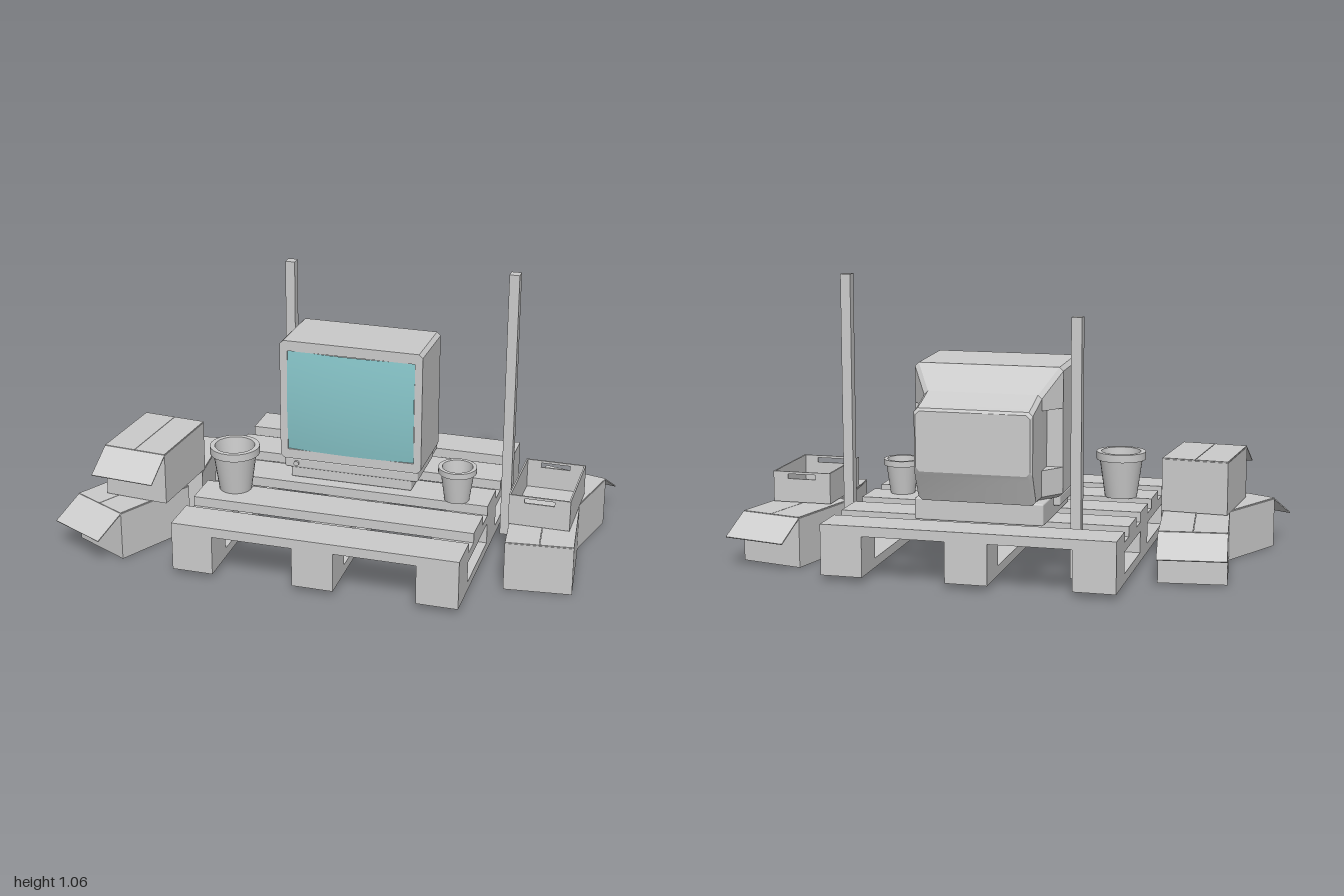
import * as THREE from 'three';
import { toCreasedNormals } from 'three/addons/utils/BufferGeometryUtils.js';
import { RoundedBoxGeometry } from 'three/addons/geometries/RoundedBoxGeometry.js';

const grey = new THREE.MeshStandardMaterial({ color: 0xcccccc });
const greyTwoSided = new THREE.MeshStandardMaterial({ color: 0xcccccc, side: THREE.DoubleSide });
const glass = new THREE.MeshStandardMaterial({ color: 0x88c6ca });

function add(parent, name, geometry, x = 0, y = 0, z = 0, material = grey) {
  const mesh = new THREE.Mesh(geometry, material);
  mesh.name = name;
  mesh.position.set(x, y, z);
  parent.add(mesh);
  return mesh;
}

// Box given by its minimum and maximum corners
function span(parent, name, x0, x1, y0, y1, z0, z1) {
  return add(parent, name, new THREE.BoxGeometry(x1 - x0, y1 - y0, z1 - z0),
    (x0 + x1) / 2, (y0 + y1) / 2, (z0 + z1) / 2);
}

function group(parent, name, x = 0, y = 0, z = 0, turn = 0) {
  const g = new THREE.Group();
  g.name = name;
  g.position.set(x, y, z);
  g.rotation.y = turn;
  parent.add(g);
  return g;
}

function rect(path, x0, x1, y0, y1) {
  return path.moveTo(x0, y0).lineTo(x1, y0).lineTo(x1, y1).lineTo(x0, y1).closePath();
}

// Rectangular plate with rectangular holes, extruded along z
function plate(outer, holes, depth) {
  const shape = rect(new THREE.Shape(), ...outer);
  for (const h of holes) shape.holes.push(rect(new THREE.Path(), ...h));
  return new THREE.ExtrudeGeometry(shape, { depth, bevelEnabled: false });
}

// Skin over matching rings of points, front ring first, capped at both ends
function loft(rings) {
  const n = rings[0].length, index = [];
  for (let i = 0; i < rings.length - 1; i++) {
    for (let j = 0; j < n; j++) {
      const a = i * n + j, b = i * n + (j + 1) % n;
      index.push(a, a + n, b, b, a + n, b + n);
    }
  }
  const last = (rings.length - 1) * n;
  for (let j = 1; j < n - 1; j++) {
    index.push(0, j, j + 1, last, last + j + 1, last + j);
  }
  const g = new THREE.BufferGeometry();
  g.setAttribute('position', new THREE.Float32BufferAttribute(rings.flat(2), 3));
  g.setIndex(index);
  return toCreasedNormals(g, 0.5);
}

function buildPallet(root) {
  const pallet = group(root, 'pallet');
  for (let i = 0; i < 5; i++) {
    const z = -0.575 + i * 0.231;
    span(pallet, 'palletSlat', -0.49, 0.585, 0.17, 0.207, z, z + 0.151);
  }
  // Runners with two fork openings each
  const holes = [[-0.355, -0.035, 0.055, 0.135], [0.115, 0.425, 0.055, 0.135]];
  for (const x of [-0.49, -0.031, 0.43]) {
    const runner = add(pallet, 'palletRunner', plate([-0.5, 0.575, 0.02, 0.17], holes, 0.155), x, 0, 0);
    runner.rotation.y = Math.PI / 2;
  }
}

function buildTelevision(root) {
  const tv = group(root, 'television', 0.042, 0, 0);
  // Half width, half width inside the side recess, bottom, top, depth
  const ring = (hx, hin, y0, y1, z, b = 0.014) => {
    const low = Math.max(0.395, y0 + b), high = Math.min(0.61, y1 - b);
    const half = [[hx - b, y0], [hx, y0 + b], [hx, low], [hin, low],
      [hin, high], [hx, high], [hx, y1 - b], [hx - b, y1]];
    const other = half.map(([x, y]) => [-x, y]).reverse();
    return [...half, ...other].map(([x, y]) => [x, y, z]);
  };
  add(tv, 'televisionHousing', loft([
    ring(0.276, 0.276, 0.287, 0.765, -0.018),
    ring(0.276, 0.276, 0.285, 0.757, -0.275),
    ring(0.276, 0.216, 0.285, 0.757, -0.275),
    ring(0.217, 0.217, 0.285, 0.667, -0.357),
    ring(0.216, 0.216, 0.285, 0.64, -0.44),
    ring(0.216, 0.216, 0.385, 0.627, -0.488),
    ring(0.208, 0.208, 0.4, 0.617, -0.497),
  ]));

  // Bezel with a rounded outline around the screen
  const b = 0.014, outline = new THREE.Shape();
  outline.moveTo(-0.276 + b, 0.287).lineTo(0.276 - b, 0.287).lineTo(0.276, 0.287 + b)
    .lineTo(0.276, 0.765 - b).lineTo(0.276 - b, 0.765).lineTo(-0.276 + b, 0.765)
    .lineTo(-0.276, 0.765 - b).lineTo(-0.276, 0.287 + b).closePath();
  outline.holes.push(rect(new THREE.Path(), -0.247, 0.247, 0.325, 0.725));
  add(tv, 'screenBezel', new THREE.ExtrudeGeometry(outline, { depth: 0.018, bevelEnabled: false }), 0, 0, -0.018);

  // Bulging picture tube
  const screen = new THREE.PlaneGeometry(0.494, 0.4, 16, 16);
  const p = screen.attributes.position;
  for (let i = 0; i < p.count; i++) {
    const u = p.getX(i) / 0.247, v = p.getY(i) / 0.2;
    p.setZ(i, -0.008 + 0.026 * (1 - (u * u + v * v) / 2));
  }
  screen.computeVertexNormals();
  add(tv, 'screen', screen, 0, 0.525, 0, glass);

  add(tv, 'controlPanel', new RoundedBoxGeometry(0.525, 0.042, 0.25, 2, 0.008), 0, 0.267, -0.132);
  add(tv, 'televisionBase', new RoundedBoxGeometry(0.476, 0.08, 0.41, 2, 0.006), 0, 0.247, -0.215);
  const button = add(tv, 'powerButton', new THREE.CylinderGeometry(0.01, 0.01, 0.012, 16), -0.215, 0.267, -0.004);
  button.rotation.x = Math.PI / 2;
}

// Open flower pot with a thick rim
function buildPot(root, x, z, r, h) {
  const profile = [[0, 0], [0.65, 0], [0.87, 0.83], [1, 0.83], [1, 1], [0.8, 1], [0.62, 0.1], [0, 0.1]]
    .map(([a, b]) => new THREE.Vector2(a * r, b * h));
  add(root, 'flowerPot', toCreasedNormals(new THREE.LatheGeometry(profile, 28), 0.6), x, 0.207, z);
}

// Cardboard box; flapEnd is +1 or -1 for a flap hanging open at that end, 0 for none
function buildCarton(root, name, x, y, z, turn, flapEnd, height = 0.185) {
  const w = 0.248, l = 0.335;
  const box = group(root, name, x, y, z, turn);
  add(box, 'cartonBody', new THREE.BoxGeometry(w, height, l), 0, height / 2, 0);
  for (const side of [-1, 1]) {
    add(box, 'closedFlap', new THREE.BoxGeometry(w / 2 - 0.002, 0.004, l), side * w / 4, height + 0.003, 0);
  }
  if (flapEnd) {
    const flap = add(box, 'openFlap', new THREE.BoxGeometry(w, 0.004, 0.135), 0, height - 0.036, flapEnd * (l / 2 + 0.055));
    flap.rotation.x = flapEnd * 0.58;
  }
}

// Open tray with hand slots at both ends
function buildTray(root) {
  const tray = group(root, 'openTray', 0.793, 0.193, -0.04);
  const w = 0.113, l = 0.165, h = 0.117, t = 0.006;
  span(tray, 'trayFloor', -w, w, 0, t, -l, l);
  for (const s of [-1, 1]) {
    span(tray, 'traySide', s * (w - t / 2) - t / 2, s * (w - t / 2) + t / 2, 0, h, -l, l);
    add(tray, 'trayEnd', plate([-w, w, 0, h], [[-0.055, 0.055, 0.09, 0.108]], t),
      0, 0, s * (l - t / 2) - t / 2, greyTwoSided);
  }
}

export function createModel() {
  const root = new THREE.Group();
  root.name = 'televisionOnPallet';
  buildPallet(root);
  buildTelevision(root);

  // Upright posts
  span(root, 'shortPost', -0.327, -0.289, 0.018, 0.952, -0.398, -0.359);
  span(root, 'tallPost', 0.602, 0.64, 0.018, 1.06, -0.164, -0.126);

  buildPot(root, -0.367, 0.145, 0.094, 0.175);
  buildPot(root, 0.46, 0.005, 0.072, 0.133);

  // Cartons on both sides
  buildCarton(root, 'leftRearCarton', 0.803, 0, -0.235, -0.235, -1);
  buildCarton(root, 'leftFrontCarton', 0.803, 0, 0.09, 0.11, 0);
  buildTray(root);
  buildCarton(root, 'rightRearCarton', -0.693, 0, -0.132, 0.11, -1);
  buildCarton(root, 'rightFrontCarton', -0.745, 0, 0.24, -0.48, 1);
  buildCarton(root, 'rightTopCarton', -0.687, 0.193, 0.15, -0.085, 1, 0.195);
  return root;
}
